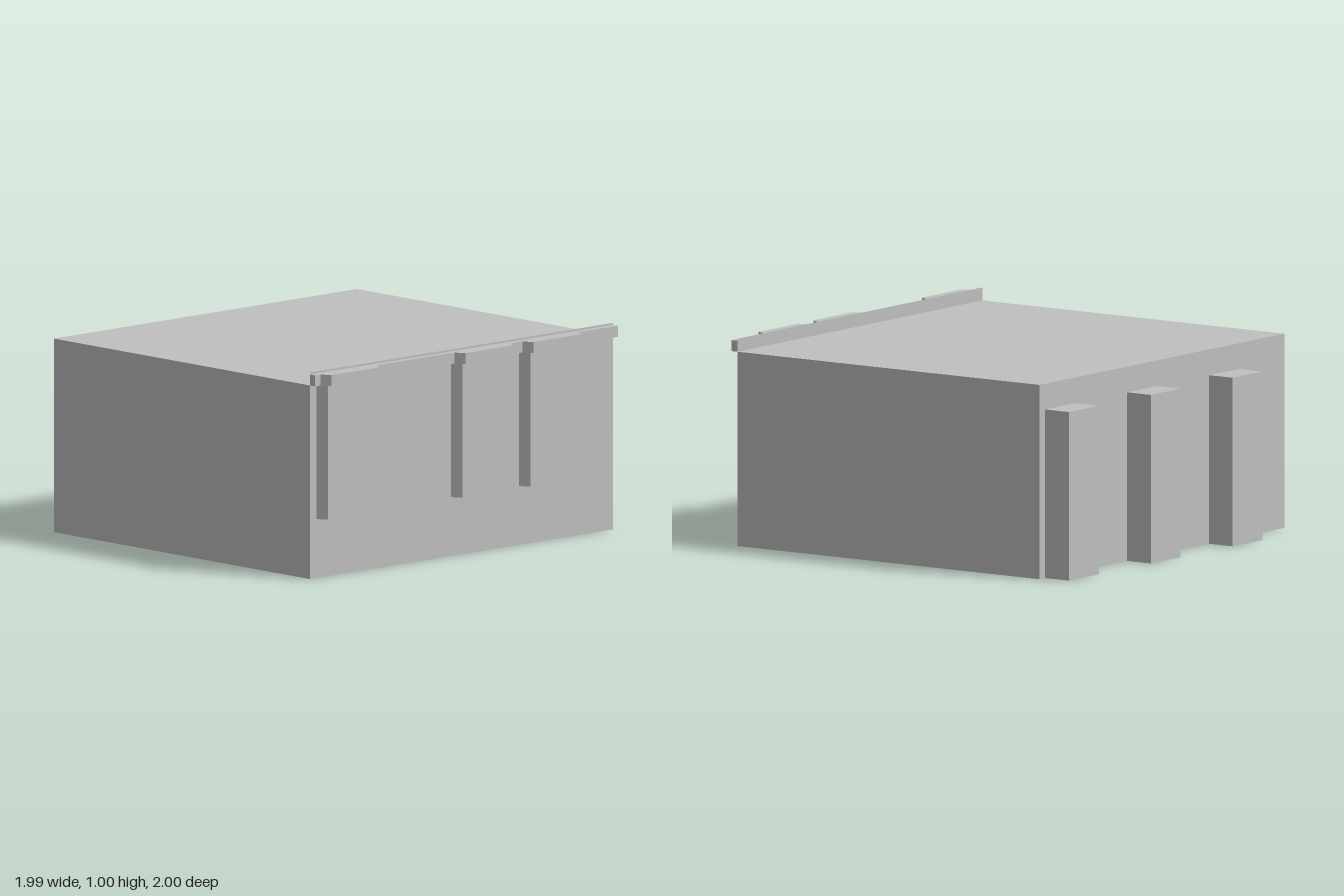
import * as THREE from 'three';

const HALF_W = 0.995, ROOF = 0.937, FRONT = 0.917, BACK = -0.86;

// Box between two corners, without the listed sides (0 +x, 1 -x, 2 +y, 3 -y, 4 +z, 5 -z)
function openBox(min, max, omit) {
  const size = max.map((v, i) => v - min[i]);
  const geo = new THREE.BoxGeometry(...size);
  const index = Array.from(geo.index.array).filter((_, i) => !omit.includes(Math.floor(i / 6)));
  geo.setIndex(index);
  geo.clearGroups();
  return geo.translate(...max.map((v, i) => (v + min[i]) / 2));
}

// Upright prism over an [x, z] outline
function prism(outline, bottom, top) {
  const shape = new THREE.Shape(outline.map(([x, z]) => new THREE.Vector2(x, z)));
  const geo = new THREE.ExtrudeGeometry(shape, { depth: top - bottom, bevelEnabled: false });
  return geo.rotateX(Math.PI / 2).translate(0, top, 0);
}

export function createModel() {
  const model = new THREE.Group();
  const grey = new THREE.MeshStandardMaterial({ color: 0xc0c0c0, side: THREE.DoubleSide });
  grey.name = 'plain grey';
  const add = (name, geo) => {
    const mesh = new THREE.Mesh(geo, grey);
    mesh.name = name;
    model.add(mesh);
  };

  // Hollow building body, open underneath
  add('walls', openBox([-HALF_W, 0, BACK], [HALF_W, ROOF, FRONT], [3]));

  // Thin parapet continuing the front wall above the roof
  const parapetHeight = 1.0 - ROOF;
  add('parapet', new THREE.PlaneGeometry(2 * HALF_W, parapetHeight)
    .translate(0, ROOF + parapetHeight / 2, FRONT));

  // Splayed bay windows on the front, given by left and right x at the wall
  const bays = [[-0.95, -0.6], [-0.07, 0.282], [0.376, 0.727]];
  const splay = 0.027;
  for (const [a, b] of bays) {
    add('bay', prism([[a, FRONT], [b, FRONT], [b - splay, 0.968], [a + splay, 0.968]], 0.285, ROOF));
  }

  // Cornice stepping out around each bay
  const z0 = 0.952, z1 = 1.0, over = 0.009;
  const outline = [[HALF_W, z0], [HALF_W, FRONT], [-HALF_W, FRONT], [-HALF_W, z0]];
  for (const [a, b] of bays) {
    outline.push([a - over, z0], [a - over + splay, z1], [b + over - splay, z1], [b + over, z0]);
  }
  add('cornice', prism(outline, ROOF, 0.99));

  // Hollow piers on the back wall
  for (const x of [-0.624, 0.041, 0.706]) {
    add('pier', openBox([x, 0, -1], [x + 0.243, 0.813, BACK], [3, 4]));
  }
  return model;
}
